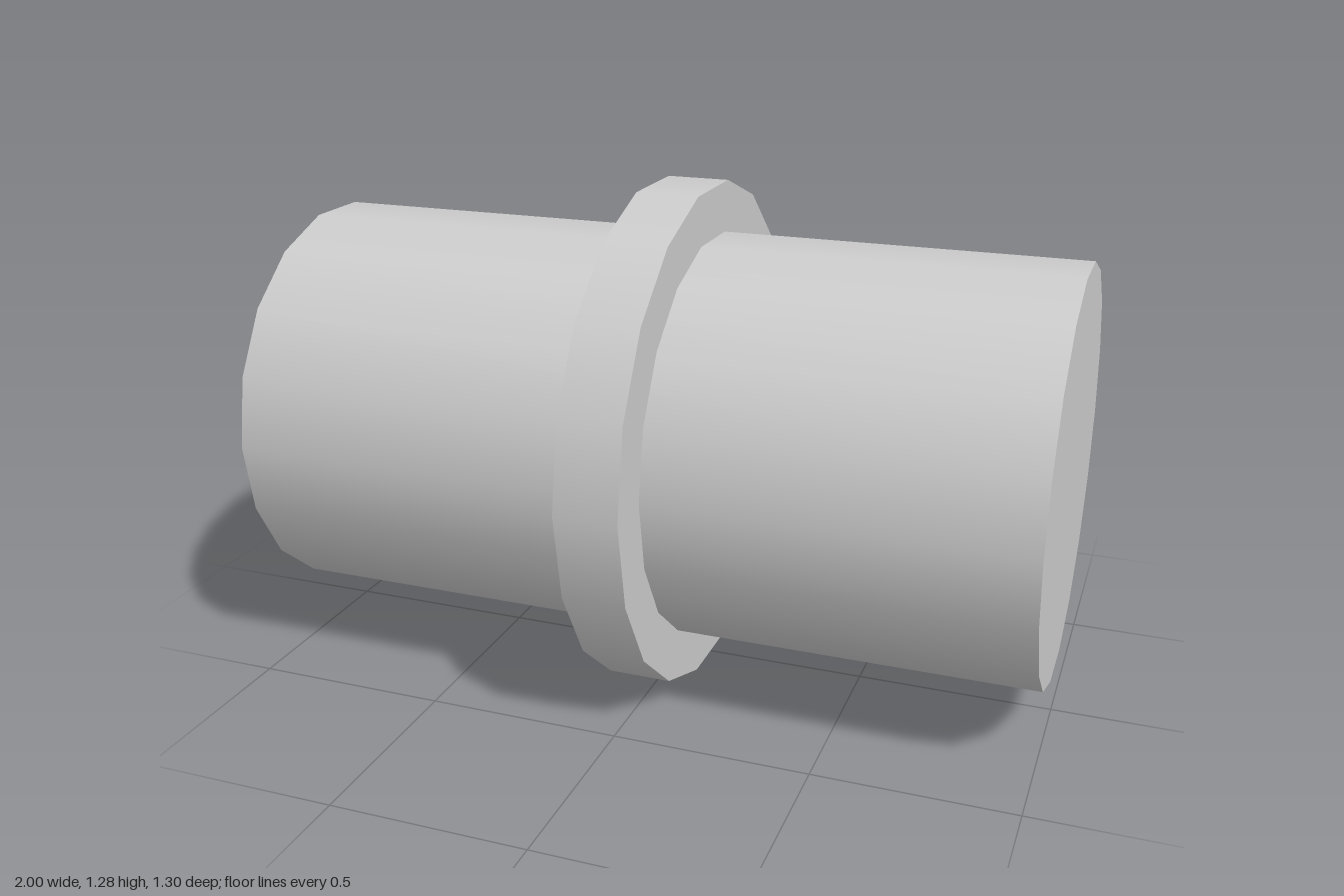
import * as THREE from 'three';

const SIDES = 18;
const RING_RADIUS = 0.65;
// Height of the axis so that the ring's flat underside rests on y = 0
const AXIS_Y = RING_RADIUS * Math.cos(Math.PI / SIDES);

// Capped cylinder lying along x, smooth around its side
function barrel(name, radius, length, material) {
  const geometry = new THREE.CylinderGeometry(radius, radius, length, SIDES);
  geometry.rotateZ(Math.PI / 2);
  const mesh = new THREE.Mesh(geometry, material);
  mesh.name = name;
  mesh.position.y = AXIS_Y;
  return mesh;
}

export function createModel() {
  const group = new THREE.Group();
  group.name = 'pipeCoupling';
  const material = new THREE.MeshStandardMaterial({ color: 0xcccccc });

  // Main shaft and the raised ring around its middle
  group.add(barrel('shaft', 0.52, 2, material));
  group.add(barrel('collarRing', RING_RADIUS, 0.16, material));
  return group;
}
